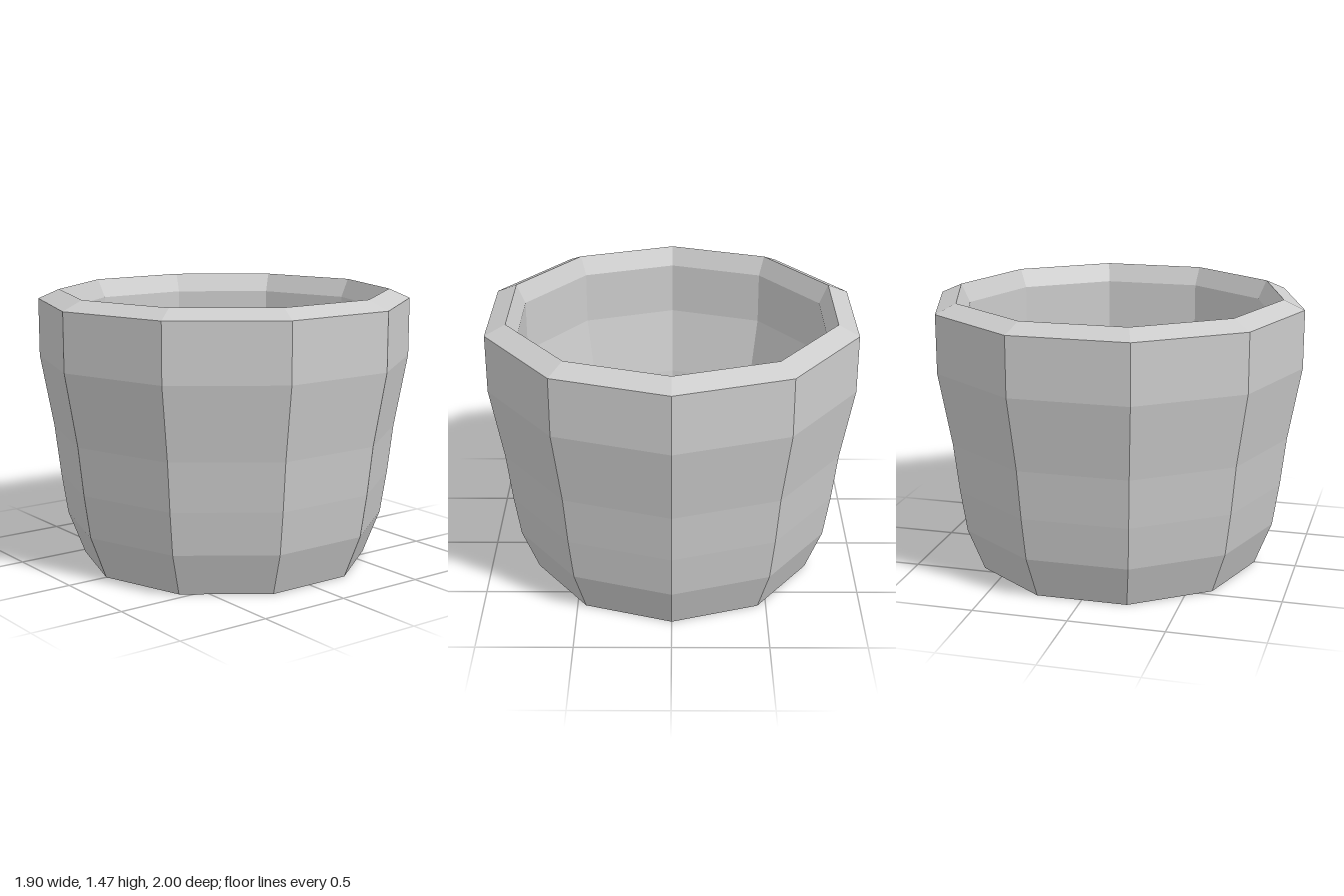
import * as THREE from 'three';

const SIDES = 10;

export function createModel() {
  const group = new THREE.Group();
  group.name = 'pot';
  const material = new THREE.MeshStandardMaterial({ color: 0xcccccc, flatShading: true });

  // Ten-sided ring surface from a [radius, height] profile
  const addPart = (name, profile) => {
    const points = profile.map(([r, y]) => new THREE.Vector2(r, y));
    const mesh = new THREE.Mesh(new THREE.LatheGeometry(points, SIDES), material);
    mesh.name = name;
    group.add(mesh);
  };

  // Closed base and flaring outside wall
  addPart('outerWall', [
    [0, 0], [0.775, 0], [0.865, 0.23], [0.9, 0.46], [0.93, 0.72], [1, 1.11], [1, 1.42],
  ]);

  // Bevelled lip, sloping up to a ridge and down into the pot
  addPart('rim', [[1, 1.42], [0.888, 1.47], [0.84, 1.37]]);

  // Inside wall and floor, following the outside at an even thickness
  addPart('innerWall', [
    [0.84, 1.37], [0.84, 1.09], [0.77, 0.73], [0.74, 0.48], [0.7, 0.28], [0.605, 0.14], [0, 0.14],
  ]);

  return group;
}
